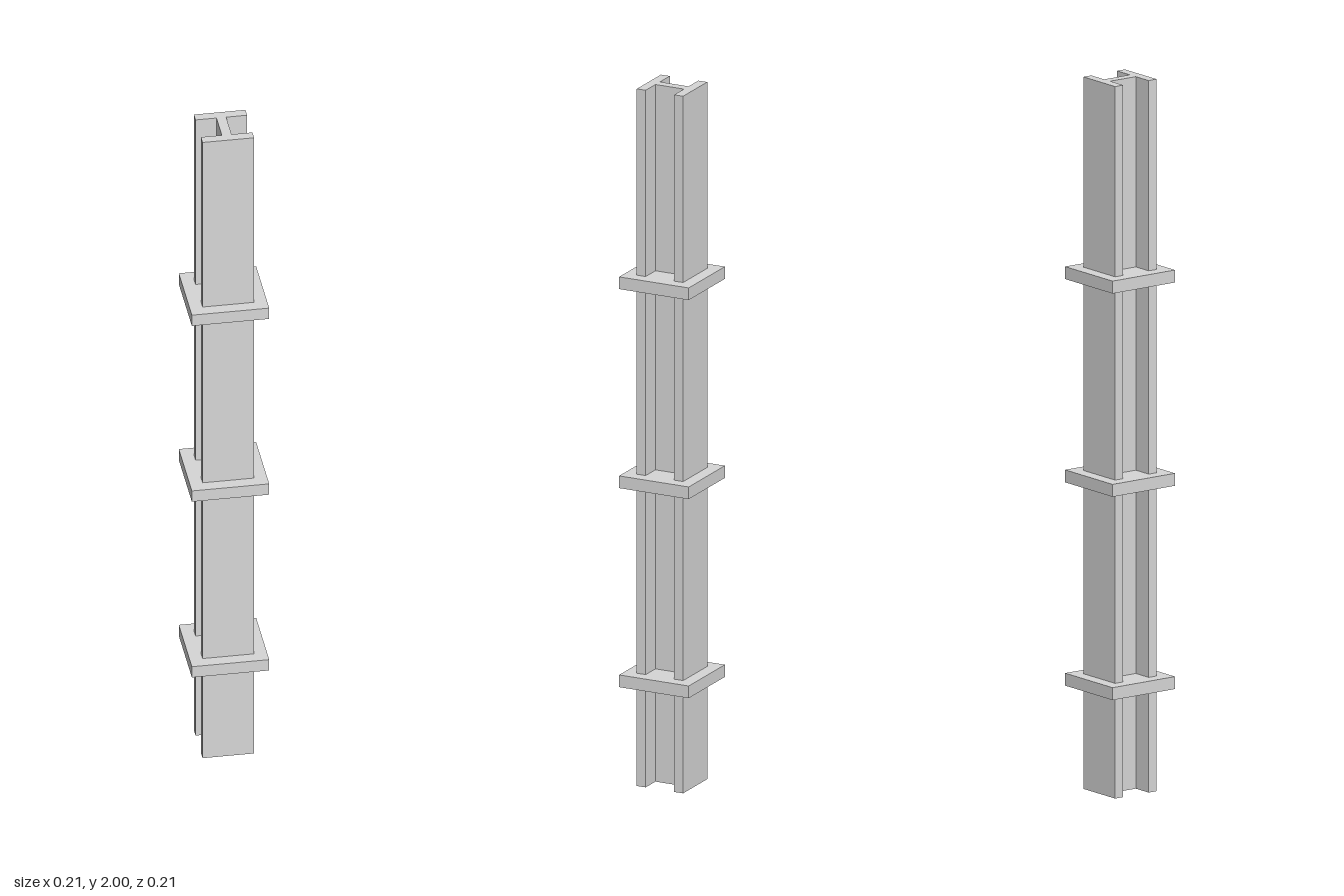
import * as THREE from 'three';

export function createModel() {
  const group = new THREE.Group();
  const steel = new THREE.MeshStandardMaterial({ color: 0xd6d6d6 });
  steel.name = 'light grey steel';

  // I-section beam, extruded upwards
  const half = 0.0714, inner = 0.044, web = 0.0134;
  const outline = [
    [-half, -half], [half, -half], [half, -inner], [web, -inner],
    [web, inner], [half, inner], [half, half], [-half, half],
    [-half, inner], [-web, inner], [-web, -inner], [-half, -inner],
  ].map(([x, y]) => new THREE.Vector2(x, y));
  const beamGeometry = new THREE.ExtrudeGeometry(new THREE.Shape(outline), {
    depth: 2, bevelEnabled: false,
  });
  beamGeometry.rotateX(-Math.PI / 2);
  const beam = new THREE.Mesh(beamGeometry, steel);
  beam.name = 'beam';
  group.add(beam);

  // Square collar plates spaced evenly along the beam
  const plateGeometry = new THREE.BoxGeometry(0.2143, 0.035, 0.2143);
  for (let i = 0; i < 3; i++) {
    const plate = new THREE.Mesh(plateGeometry, steel);
    plate.name = `collarPlate${i + 1}`;
    plate.position.y = 0.306 + i * 0.571;
    group.add(plate);
  }
  return group;
}
